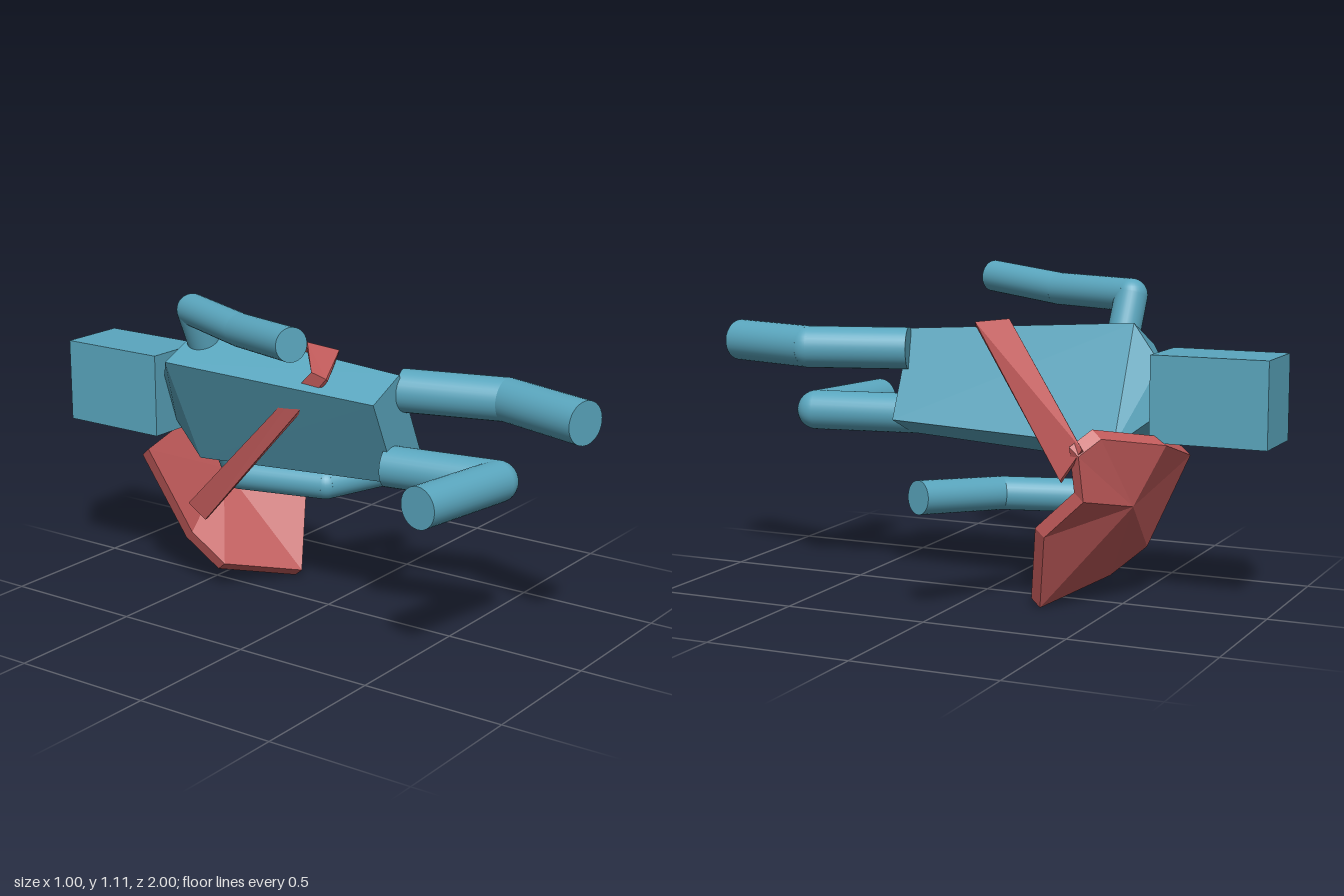
import * as THREE from 'three';

const bodyBlue = new THREE.MeshStandardMaterial({ color: 0x5aa6be });
bodyBlue.name = 'bodyBlue';
const gearRed = new THREE.MeshStandardMaterial({ color: 0xc05a5a, side: THREE.DoubleSide });
gearRed.name = 'gearRed';

const V = (p) => new THREE.Vector3(...p);
const shift = (p, d) => p.map((v, i) => v + d[i]);

function addMesh(parent, name, geometry, material) {
  const mesh = new THREE.Mesh(geometry, material);
  mesh.name = name;
  parent.add(mesh);
  return mesh;
}

// Faceted solid through rings of equal length; rings[0] runs counter-clockwise seen from outside.
// Each end is closed by a fan around its centre.
function loft(rings, centres = []) {
  const pos = [];
  const tri = (...pts) => pts.forEach((p) => pos.push(...p));
  const n = rings[0].length;
  const mean = (r) => [0, 1, 2].map((k) => r.reduce((s, p) => s + p[k], 0) / n);
  const first = rings[0], last = rings[rings.length - 1];
  const c0 = centres[0] || mean(first), c1 = centres[1] || mean(last);
  for (let i = 0; i < n; i++) {
    const j = (i + 1) % n;
    tri(c0, first[i], first[j]);
    tri(c1, last[j], last[i]);
    for (let r = 0; r + 1 < rings.length; r++) {
      const a = rings[r], b = rings[r + 1];
      tri(a[i], b[i], b[j]);
      tri(a[i], b[j], a[j]);
    }
  }
  const g = new THREE.BufferGeometry();
  g.setAttribute('position', new THREE.Float32BufferAttribute(pos, 3));
  g.computeVertexNormals();
  return g;
}

// Chain of round segments with ball joints between them
function limb(name, radius, points) {
  const group = new THREE.Group();
  group.name = name;
  for (let i = 0; i + 1 < points.length; i++) {
    const a = V(points[i]), b = V(points[i + 1]);
    const dir = b.clone().sub(a);
    const seg = addMesh(group, name + 'Segment', new THREE.CylinderGeometry(radius, radius, dir.length(), 32), bodyBlue);
    seg.position.copy(a).add(b).multiplyScalar(0.5);
    seg.quaternion.setFromUnitVectors(new THREE.Vector3(0, 1, 0), dir.normalize());
    if (i > 0) addMesh(group, name + 'Joint', new THREE.SphereGeometry(radius, 32, 16), bodyBlue).position.copy(a);
  }
  return group;
}

export function createModel() {
  const model = new THREE.Group();
  model.name = 'lyingFigure';

  // Head
  addMesh(model, 'head', new THREE.BoxGeometry(0.24, 0.29, 0.4), bodyBlue).position.set(-0.08, 0.71, -0.8);

  // Tapered, rolled torso with sloping shoulders: neck, shoulders, hips
  const ring = (z, pts) => pts.map(([x, y]) => [x, y, z]);
  addMesh(model, 'torso', loft([
    ring(-0.6, [[-0.15, 0.775], [-0.06, 0.815], [0.0, 0.64], [-0.09, 0.60]]),
    ring(-0.51, [[-0.25, 0.857], [-0.05, 0.947], [0.13, 0.56], [-0.07, 0.47]]),
    ring(0.32, [[-0.2, 0.825], [-0.05, 0.895], [0.09, 0.59], [-0.06, 0.525]]),
  ]), bodyBlue);

  // Arms
  model.add(limb('rightArm', 0.056, [[-0.09, 0.86, -0.45], [-0.155, 1.03, -0.46], [-0.3, 1.03, -0.14], [-0.45, 1.055, 0.18]]));
  model.add(limb('leftArm', 0.056, [[0.0, 0.55, -0.45], [0.08, 0.383, -0.45], [0.165, 0.383, -0.13], [0.47, 0.407, 0.03]]));

  // Legs
  model.add(limb('leftLeg', 0.073, [[0.0, 0.83, 0.3], [0.1, 0.83, 0.64], [0.0, 0.83, 0.98]]));
  model.add(limb('rightLeg', 0.07, [[-0.085, 0.59, 0.3], [-0.02, 0.59, 0.68], [-0.395, 0.59, 0.62]]));

  // Faceted shield behind the back
  const outline = [
    [-0.21, 0.49, -0.66], [0.04, 0.56, -0.66], [0.24, 0.6, -0.51], [0.31, 0.55, -0.46], [0.29, 0.4, -0.47],
    [0.28, 0.27, -0.33], [0.17, 0.005, -0.27], [-0.09, 0.075, -0.42], [-0.123, 0.18, -0.54],
  ];
  const ridge = [0.1, 0.36, -0.57];
  const depth = [-0.008, 0.028, 0.035];
  addMesh(model, 'shield', loft([outline, outline.map((p) => shift(p, depth))], [ridge, shift(ridge, depth)]), gearRed);

  // Strap slung over the torso: front edge, rear edge, outward thickness
  const strap = [
    [[0.305, 0.46, -0.4], [0.292, 0.565, -0.47], [0.012, 0.008, 0]],
    [[-0.012, 0.918, 0.05], [-0.03, 0.932, -0.07], [0.005, 0.014, 0]],
    [[-0.18, 0.87, 0.125], [-0.18, 0.885, 0.065], [-0.008, 0.01, 0]],
    [[-0.15, 0.28, -0.42], [-0.155, 0.33, -0.49], [-0.01, 0, 0]],
  ];
  addMesh(model, 'strap', loft(strap.map(([a, b, t]) => [a, b, shift(b, t), shift(a, t)])), gearRed);

  return model;
}
